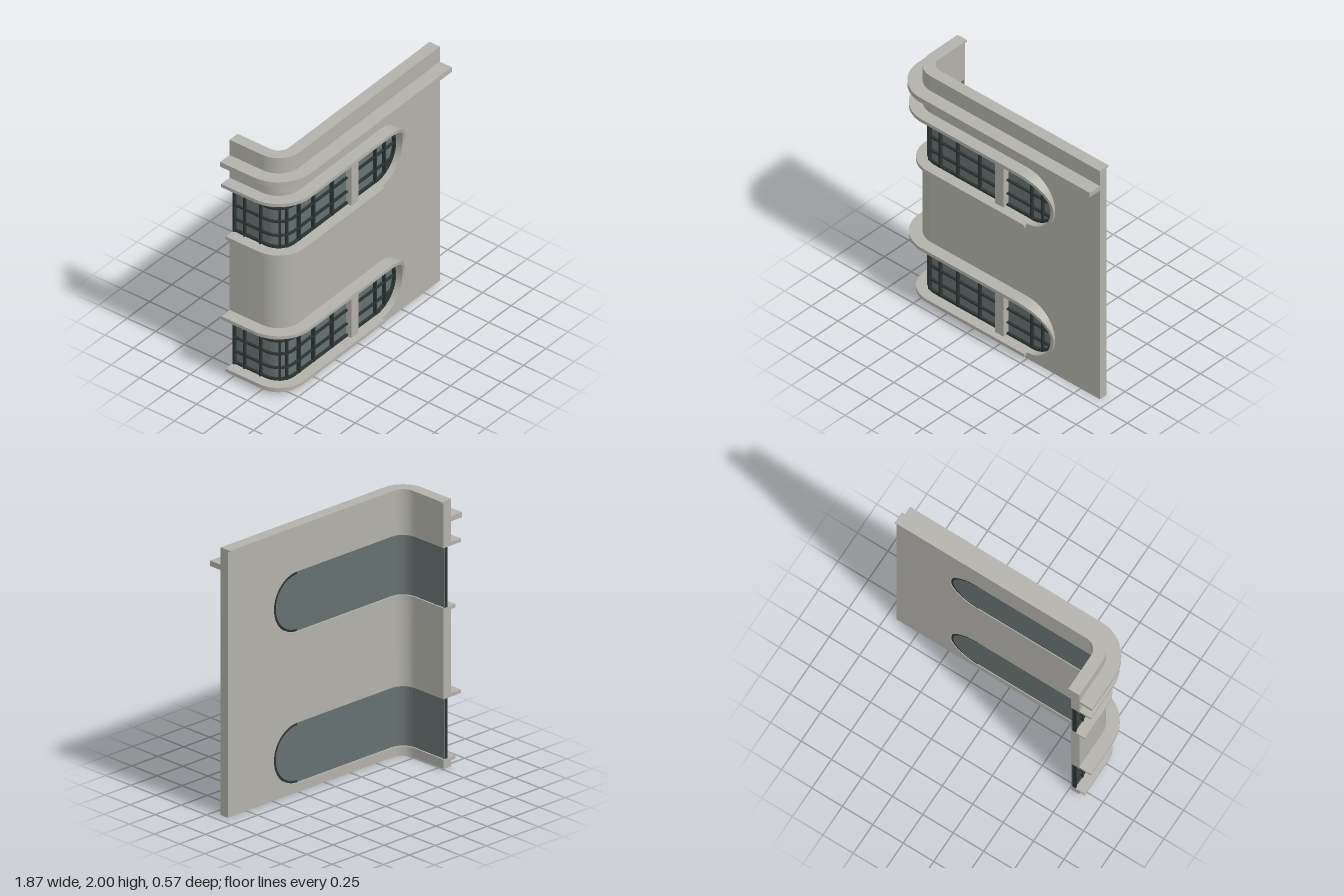
import * as THREE from 'three';
import { toCreasedNormals } from 'three/addons/utils/BufferGeometryUtils.js';

const CX = -0.65;            // centre of the rounded corner (z = 0)
const END = 0.93, BACK = 0.29; // free ends of the long wall and the short wing
const IN = 0.11, OUT = 0.18; // inner and outer wall offsets from the corner centre
const AX = 0.26, R = 0.225;  // centre and radius of the round window end
const FLOORS = [0.07, 1.2];  // bottom of each window
const H = 2 * R;

export function createModel() {
  const model = new THREE.Group();
  const concrete = new THREE.MeshStandardMaterial({ color: 0xb2b1aa });
  concrete.name = 'concrete';
  const glass = new THREE.MeshStandardMaterial({ color: 0x667070 });
  glass.name = 'glass';
  const metal = new THREE.MeshStandardMaterial({ color: 0x2b3333 });
  metal.name = 'darkMetal';

  function add(parent, name, geometry, material) {
    const mesh = new THREE.Mesh(geometry, material);
    mesh.name = name;
    parent.add(mesh);
    return mesh;
  }

  // Strip that follows the L-shaped plan between offsets r0 and r1
  function band(r0, r1, y0, y1, xEnd, segments = 16) {
    const s = new THREE.Shape();
    s.moveTo(xEnd, -r1);
    s.lineTo(xEnd, -r0);
    s.lineTo(CX, -r0);
    s.absarc(CX, 0, r0, -Math.PI / 2, -Math.PI, true);
    s.lineTo(CX - r0, BACK);
    s.lineTo(CX - r1, BACK);
    s.lineTo(CX - r1, 0);
    s.absarc(CX, 0, r1, Math.PI, Math.PI * 1.5, false);
    s.closePath();
    const g = new THREE.ExtrudeGeometry(s, { depth: y1 - y0, bevelEnabled: false, curveSegments: segments });
    g.rotateX(-Math.PI / 2);
    g.translate(0, y0, 0);
    return toCreasedNormals(g, segments > 8 ? 0.5 : 0.1);
  }

  // Box bent around the round window end, with depth given by a rule
  function arch(cy, r0, r1, z0, frontAt) {
    const g = new THREE.BoxGeometry(1, 1, 1, 32, 1, 1);
    const p = g.attributes.position;
    for (let i = 0; i < p.count; i++) {
      const a = -Math.PI * p.getX(i);
      const r = p.getY(i) > 0 ? r1 : r0;
      const z = p.getZ(i) > 0 ? frontAt(Math.sin(a)) : z0;
      p.setXYZ(i, AX + r * Math.cos(a), cy + r * Math.sin(a), z);
    }
    return toCreasedNormals(g, 0.5);
  }

  // Long wall with two slots open toward the corner
  const wall = new THREE.Shape();
  wall.moveTo(CX, 0);
  wall.lineTo(END, 0);
  wall.lineTo(END, 2);
  wall.lineTo(CX, 2);
  for (const y of [...FLOORS].reverse()) {
    wall.lineTo(CX, y + H);
    wall.lineTo(AX, y + H);
    wall.absarc(AX, y + R, R, Math.PI / 2, -Math.PI / 2, true);
    wall.lineTo(CX, y);
  }
  wall.closePath();
  const wallGeometry = new THREE.ExtrudeGeometry(wall, { depth: OUT - IN, bevelEnabled: false, curveSegments: 32 });
  wallGeometry.translate(0, 0, IN);
  add(model, 'longWall', toCreasedNormals(wallGeometry, 0.5), concrete);

  // Rounded corner and short wing, in the gaps between windows
  const levels = [0, FLOORS[0], FLOORS[0] + H, FLOORS[1], FLOORS[1] + H, 2];
  for (let i = 0; i < 6; i += 2) {
    add(model, 'cornerWall', band(IN, OUT, levels[i], levels[i + 1], CX), concrete);
  }
  add(model, 'topLip', band(0.09, IN + 0.001, 1.988, 2, END), concrete);
  add(model, 'upperLedge', band(OUT - 0.01, 0.285, 1.83, 1.87, END), concrete);

  for (const y of FLOORS) {
    const cy = y + R;
    const win = new THREE.Group();
    win.name = 'ribbonWindow';
    model.add(win);

    // Hood, sill and the tapering surround that joins them
    add(win, 'hood', band(OUT - 0.01, 0.275, y + H, y + H + 0.027, AX), concrete);
    add(win, 'sill', band(OUT - 0.01, 0.225, y - 0.025, y, AX), concrete);
    add(win, 'roundSurround',
      arch(cy, R, R + 0.026, OUT - 0.01, (s) => 0.197 + 0.078 * Math.max(s, 0) ** 1.5), concrete);
    const post = add(win, 'post', new THREE.BoxGeometry(0.08, H, 0.05), concrete);
    post.position.set(-0.015, cy, 0.15);

    // Glass: flat pane with a round end, and a faceted corner
    const pane = new THREE.Shape();
    pane.moveTo(CX, y + 0.004);
    pane.lineTo(AX, y + 0.004);
    pane.absarc(AX, cy, R - 0.004, -Math.PI / 2, Math.PI / 2, false);
    pane.lineTo(CX, y + H - 0.004);
    pane.closePath();
    const paneGeometry = new THREE.ExtrudeGeometry(pane, { depth: 0.01, bevelEnabled: false, curveSegments: 32 });
    paneGeometry.translate(0, 0, 0.115);
    add(win, 'flatGlass', paneGeometry, glass);
    add(win, 'cornerGlass', band(0.115, 0.125, y + 0.004, y + H - 0.004, CX, 4), glass);

    // Horizontal bars, ending at the round frame
    for (const [h, t] of [[0.012, 0.016], [0.108, 0.012], [0.225, 0.012], [0.335, 0.012], [0.438, 0.016]]) {
      const xEnd = AX + Math.sqrt(Math.max(0, 0.214 ** 2 - (h - R) ** 2));
      add(win, 'horizontalBar', band(0.122, 0.145, y + h - t / 2, y + h + t / 2, xEnd, 12), metal);
    }
    add(win, 'roundFrame', arch(cy, 0.205, 0.221, 0.113, () => 0.148), metal);

    // Vertical bars on the long wall, around the corner and along the wing
    const verticalBar = (x, z, angle, height) => {
      const bar = add(win, 'verticalBar', new THREE.BoxGeometry(0.014, height, 0.03), metal);
      bar.position.set(x, cy, z);
      bar.rotation.y = -angle;
    };
    for (const x of [-0.6, -0.437, -0.23, 0.257, 0.357]) {
      const dx = Math.max(0, x - AX);
      verticalBar(x, 0.135, 0, 2 * Math.sqrt(0.218 ** 2 - dx * dx));
    }
    for (const a of [0.48, 0.85]) {
      verticalBar(CX - 0.135 * Math.sin(a), 0.135 * Math.cos(a), a, H - 0.01);
    }
    for (const z of [-0.05, -0.19, -0.281]) {
      verticalBar(CX - 0.135, z, Math.PI / 2, H);
    }
  }
  return model;
}
